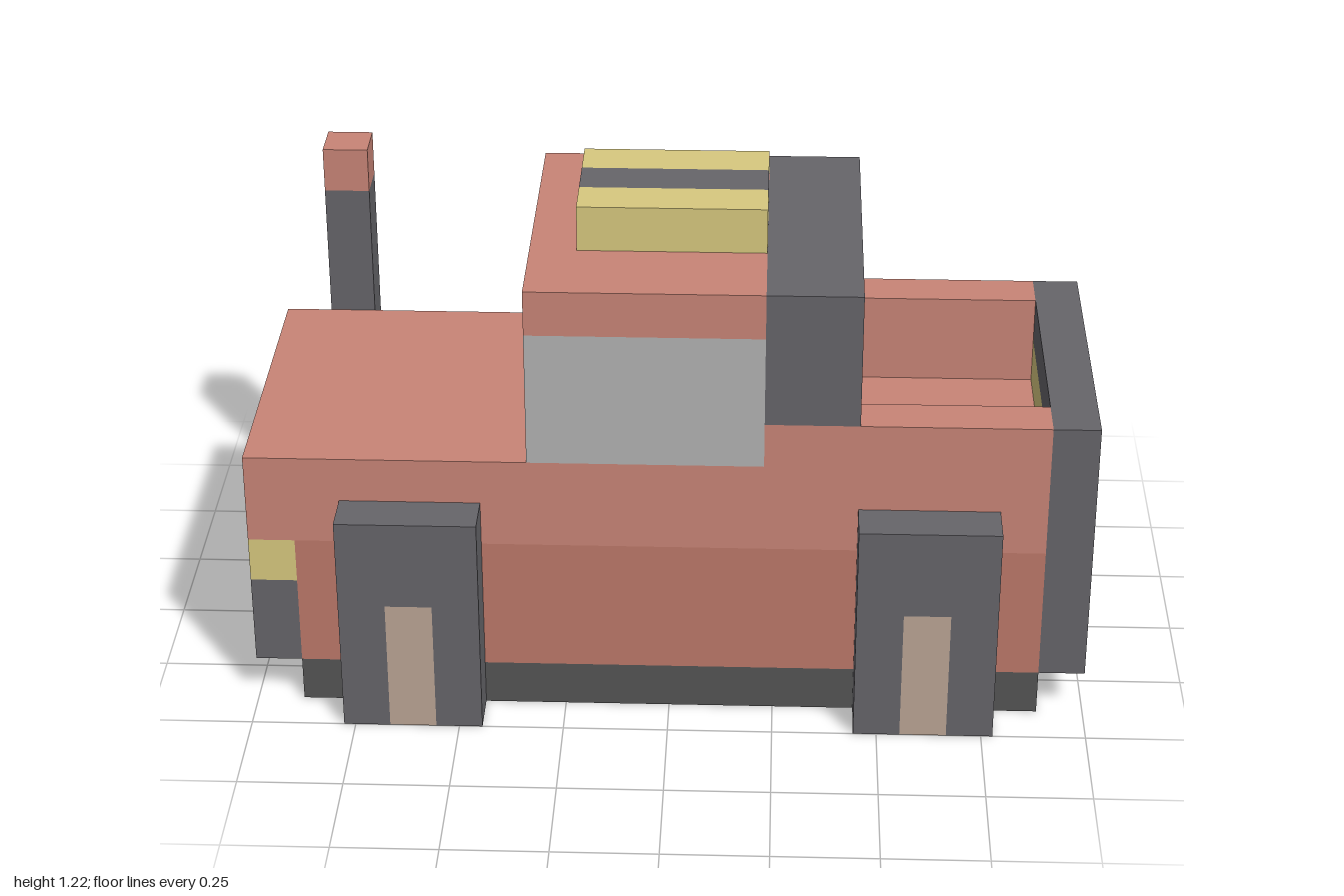
import * as THREE from 'three';

// One block of the grid; all sizes below are in blocks.
const U = 1 / 9;

const mat = (color) => new THREE.MeshStandardMaterial({ color, flatShading: true });

export function createModel() {
  const model = new THREE.Group();
  const red = mat(0xc98577), deepRed = mat(0xbd796a), dark = mat(0x66656a);
  const under = mat(0x555555), yellow = mat(0xd8c97f), glass = mat(0xb3b3b3), tan = mat(0xbba595);

  // Box between two limits on each axis
  const box = (name, material, [x0, x1], [y0, y1], [z0, z1], parent = model) => {
    const mesh = new THREE.Mesh(
      new THREE.BoxGeometry((x1 - x0) * U, (y1 - y0) * U, (z1 - z0) * U), material);
    mesh.position.set((x0 + x1) / 2 * U, (y0 + y1) / 2 * U, (z0 + z1) / 2 * U);
    mesh.name = name;
    parent.add(mesh);
    return mesh;
  };
  // Same box on both sides of the centre line
  const pair = (name, material, x, y, [z0, z1], parent = model) => {
    box(name + 'Left', material, x, y, [z0, z1], parent);
    box(name + 'Right', material, x, y, [-z1, -z0], parent);
  };
  const full = [-3.5, 3.5];

  // Chassis and body
  box('chassis', under, [-8, 8], [0, 1], full);
  box('lowerBody', deepRed, [-8, 8], [1, 4], full);
  box('bodyDeck', red, [-9, 8], [4, 5], full);
  box('hood', red, [-9, 3], [5, 6], full);
  box('bedFrontWall', red, [2, 3], [6, 7], full);
  pair('bedWall', red, [3, 8], [5, 7], [2.5, 3.5]);

  // End gate with a light bar passing through it
  box('gateLower', dark, [8, 9], [1, 5], full);
  pair('gateSide', dark, [8, 9], [5, 6], [2.5, 3.5]);
  box('gateLightBar', yellow, [8, 9], [5, 6], [-2.5, 2.5]);
  box('gateTop', dark, [8, 9], [6, 7], full);

  // Bumper with corner lamps
  box('bumper', dark, [-9, -8], [1, 3], full);
  box('bumperGrille', dark, [-9, -8], [3, 4], [-1.5, 1.5]);
  pair('cornerLamp', yellow, [-9, -8], [3, 4], [1.5, 3.5]);

  // Cab
  box('cabWindows', glass, [-3, 2], [6, 9], full);
  box('cabRoof', red, [-3, 2], [9, 10], full);
  box('cabBackPanel', dark, [2, 4], [7, 10], full);

  // Roof light
  pair('roofLight', yellow, [-2, 2], [10, 11], [0.5, 1.5]);
  box('roofLightMiddle', dark, [-2, 2], [10, 11], [-0.5, 0.5]);

  // Mirror and exhaust stack on the right side
  box('mirror', dark, [-3, -2], [7, 8], [-4.5, -3.5]);
  box('exhaustStack', dark, [-8, -7], [4, 9], [-4.5, -3.5]);
  box('exhaustTip', red, [-8, -7], [9, 10], [-4.5, -3.5]);

  // Square wheels with hubs
  const wheels = new THREE.Group();
  wheels.name = 'wheels';
  for (const x of [-7, 4]) {
    const side = [3.5, 4.5];
    pair('wheelRear', dark, [x, x + 1], [0, 3], side, wheels);
    pair('wheelFront', dark, [x + 2, x + 3], [0, 3], side, wheels);
    pair('wheelTop', dark, [x, x + 3], [3, 5], side, wheels);
    pair('hub', tan, [x + 1, x + 2], [0, 3], side, wheels);
  }
  model.add(wheels);

  return model;
}
